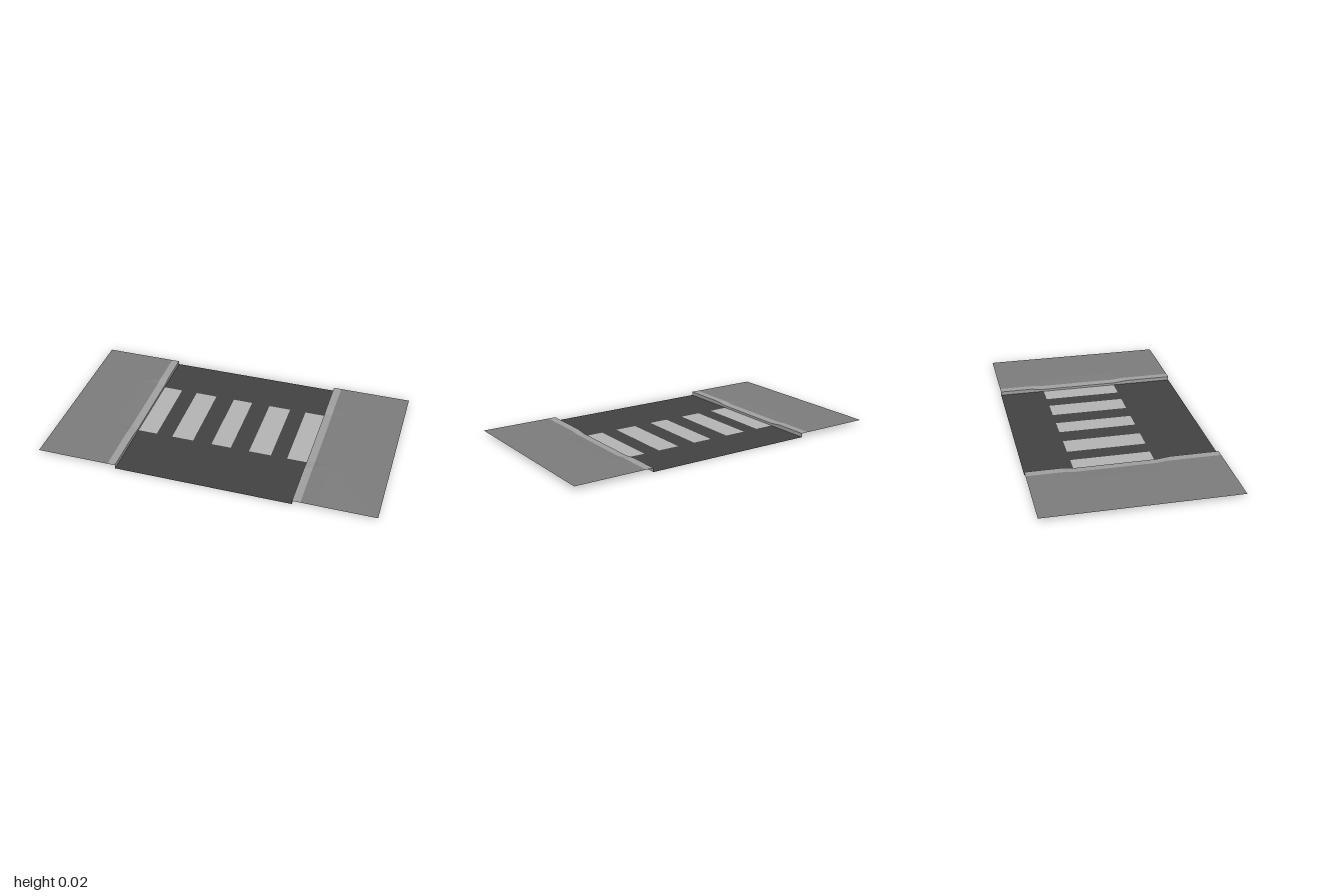
import * as THREE from 'three';

const HALF_Z = 0.557, TOP = 0.023, DIP = 0.014; // half depth, pavement height, dropped kerb height
const ROAD_X = 0.523, KERB_X = 0.57, RAMP_X = 0.66, END_X = 1;

const mat = (color) => new THREE.MeshStandardMaterial({ color, flatShading: true, side: THREE.DoubleSide });
const roadMat = mat(0x424242), stripeMat = mat(0xb4b4b4), kerbMat = mat(0xa0a0a0), paveMat = mat(0x7d7d7d);

// Skin a sheet over rows of [x, y, z] points
function sheet(name, rows, material, flip) {
  const n = rows[0].length, index = [];
  for (let r = 0; r < rows.length - 1; r++) {
    for (let c = 0; c < n - 1; c++) {
      const a = r * n + c, b = a + 1, d = a + n, e = d + 1;
      if (flip) index.push(a, b, d, b, e, d);
      else index.push(a, d, b, b, d, e);
    }
  }
  const geo = new THREE.BufferGeometry();
  geo.setAttribute('position', new THREE.Float32BufferAttribute(rows.flat(2), 3));
  geo.setIndex(index);
  geo.computeVertexNormals();
  const mesh = new THREE.Mesh(geo, material);
  mesh.name = name;
  return mesh;
}

// Flat rectangle on the ground
function patch(name, x0, x1, z0, z1, material) {
  const geo = new THREE.PlaneGeometry(x1 - x0, z1 - z0).rotateX(-Math.PI / 2);
  const mesh = new THREE.Mesh(geo, material);
  mesh.position.set((x0 + x1) / 2, 0, (z0 + z1) / 2);
  mesh.name = name;
  return mesh;
}

// Lengthwise section of the pavement at distance x, dipping at the dropped kerb
function section(side, x) {
  const t = Math.min((x - ROAD_X) / (RAMP_X - ROAD_X), 1);
  const low = THREE.MathUtils.lerp(DIP, TOP, t);
  const front = THREE.MathUtils.lerp(0.27, 0.19, t);
  const back = THREE.MathUtils.lerp(-0.36, -0.28, t);
  return [[HALF_Z, TOP], [front, TOP], [0.19, low], [-0.28, low], [back, TOP], [-HALF_Z, TOP]]
    .map(([z, y]) => [side * x, y, z]);
}

export function createModel() {
  const model = new THREE.Group();
  model.name = 'pedestrianCrossing';

  // Road surface with the crossing stripes set into the same plane
  const road = new THREE.Group();
  road.name = 'road';
  const zBack = -0.28, zFront = 0.185;
  road.add(patch('roadBack', -ROAD_X, ROAD_X, -HALF_Z, zBack, roadMat));
  road.add(patch('roadFront', -ROAD_X, ROAD_X, zFront, HALF_Z, roadMat));
  const edges = [-ROAD_X, -0.405, -0.307, -0.175, -0.06, 0.06, 0.172, 0.305, 0.403, ROAD_X];
  for (let i = 0; i < edges.length - 1; i++) {
    const stripe = i % 2 === 0;
    road.add(patch(stripe ? 'stripe' : 'roadGap', edges[i], edges[i + 1], zBack, zFront, stripe ? stripeMat : roadMat));
  }
  model.add(road);

  // Kerb and pavement on both sides
  for (const side of [-1, 1]) {
    const group = new THREE.Group();
    group.name = side > 0 ? 'leftPavement' : 'rightPavement';
    const lip = section(side, ROAD_X);
    const foot = lip.map(([x, , z]) => [x, 0, z]);
    const flip = side < 0;
    group.add(sheet('kerbFace', [foot, lip], kerbMat, flip));
    group.add(sheet('kerbTop', [lip, section(side, KERB_X)], kerbMat, flip));
    group.add(sheet('pavement', [KERB_X, RAMP_X, END_X].map((x) => section(side, x)), paveMat, flip));
    model.add(group);
  }
  return model;
}
